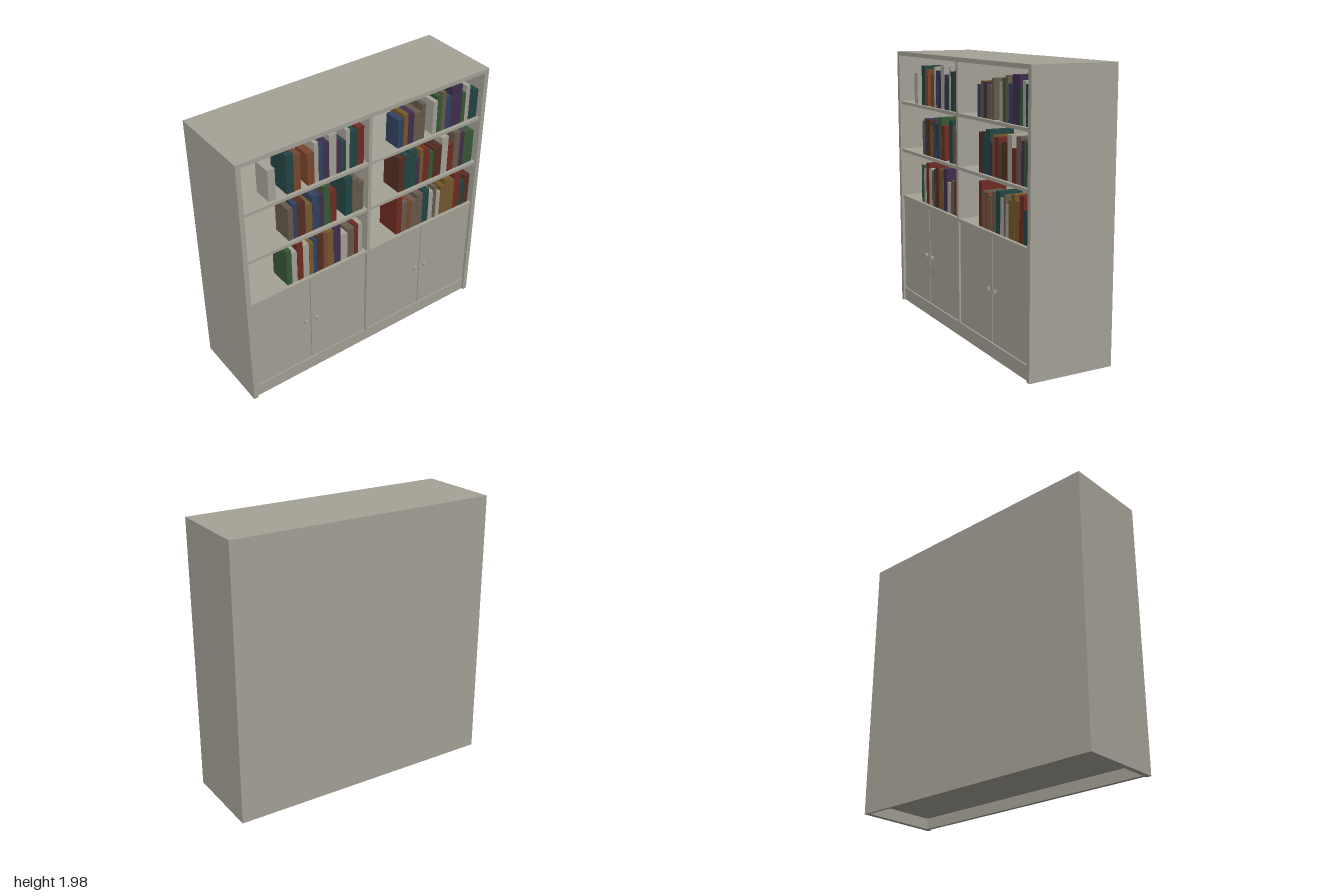
import * as THREE from 'three';

const COLORS = {
  body: 0xa5a196, red: 0x6f2c23, rust: 0x79472d, brown: 0x532e23, gold: 0x74582c,
  taupe: 0x675a4c, green: 0x385736, teal: 0x234543, blue: 0x334261, purple: 0x402f4c,
};

export function createModel() {
  const group = new THREE.Group();
  group.name = 'bookcase';
  const mats = {};
  for (const [name, hex] of Object.entries(COLORS)) {
    mats[name] = new THREE.MeshStandardMaterial({ color: hex });
    mats[name].name = name;
  }

  // box given by its limits on each axis
  function box(name, x0, x1, y0, y1, z0, z1, color = 'body', parent = group) {
    const mesh = new THREE.Mesh(new THREE.BoxGeometry(x1 - x0, y1 - y0, z1 - z0), mats[color]);
    mesh.position.set((x0 + x1) / 2, (y0 + y1) / 2, (z0 + z1) / 2);
    mesh.name = name;
    parent.add(mesh);
  }

  const H = 1.98, D = 0.312, W = 0.965, BACK = -0.292;

  // carcass
  box('topPanel', -W, W, 1.95, H, -D, D);
  box('backPanel', -W, W, 0, 1.95, -D, BACK);
  box('leftSide', W, 1, 0, H, -D, D);
  box('rightSide', -1, -W, 0, H, -D, D);
  box('divider', -0.013, 0.013, 0.1, 1.95, BACK, 0.302);
  box('bottomPanel', -W, W, 0.08, 0.1, BACK, 0.295);
  box('kickBoard', -W, W, 0, 0.1, 0.27, 0.297);

  // shelves in both bays
  const shelfTops = [0.862, 1.23, 1.6];
  for (const s of [-1, 1]) {
    for (const y of shelfTops) {
      const [a, b] = s < 0 ? [-W, -0.013] : [0.013, W];
      box('shelf', a, b, y - 0.022, y, BACK, 0.3);
    }
    // two doors with square knobs in each bay
    for (const [a, b, k] of [[0.02, 0.488, 0.445], [0.495, 0.962, 0.535]]) {
      box('door', Math.min(s * a, s * b), Math.max(s * a, s * b), 0.105, 0.836, 0.27, 0.292);
      box('knob', s * k - 0.01, s * k + 0.01, 0.463, 0.484, 0.292, 0.311);
    }
  }

  // a row of books: [width, height, colour] in hundredths; [width] alone is a gap
  function bookRow(x, y, books) {
    const row = new THREE.Group();
    row.name = 'bookRow';
    for (const [w, h, color] of books) {
      const width = w / 100, height = h / 100;
      if (color) box('book', x + 0.001, x + width - 0.001, y, y + height, 0.275 - height * 0.6, 0.275, color, row);
      x += width;
    }
    group.add(row);
  }

  bookRow(-0.767, shelfTops[2], [
    [5.6, 23, 'body'], [7.7], [5.7, 28.9, 'teal'], [5.1, 26.7, 'rust'], [5.1], [5.3, 23.5, 'rust'],
    [3.3, 29.4, 'body'], [3.8, 26.7, 'blue'], [4.3, 26.7, 'purple'], [5.8, 31, 'body'],
    [3.4, 24.6, 'purple'], [3.9, 22.5, 'teal'], [3, 29.9, 'body'], [5.9, 27.3, 'teal'], [5.5, 28.3, 'red'],
  ]);
  bookRow(0.249, shelfTops[2], [
    [4.8, 21.4, 'blue'], [3.7, 24, 'gold'], [4.9, 23.5, 'purple'], [6.4, 21.9, 'taupe'], [3.3, 26.7, 'taupe'],
    [6.9], [3.7, 25.1, 'body'], [4, 27.8, 'green'], [3.5, 29.4, 'taupe'], [4.9, 24.6, 'blue'],
    [4, 30.5, 'purple'], [5.4, 30.5, 'purple'], [3.6, 23, 'green'], [3.6, 27.8, 'body'],
    [2.7, 25.7, 'teal'], [5.2, 21.9, 'teal'],
  ]);
  bookRow(-0.634, shelfTops[1], [
    [4, 25.1, 'taupe'], [3.3, 27.3, 'blue'], [6, 26.7, 'brown'], [5.5, 21.9, 'gold'], [5.6, 26.7, 'blue'],
    [3.4, 25.1, 'purple'], [5.3, 30.5, 'green'], [4.9, 25.1, 'red'], [7.1], [5.8, 29.9, 'teal'],
    [5.3, 26.2, 'taupe'], [3.9, 22.5, 'taupe'],
  ]);
  bookRow(0.27, shelfTops[1], [
    [4.8, 27.3, 'brown'], [4.8, 27.8, 'teal'], [5.8, 29.9, 'teal'], [3.1, 21.9, 'purple'], [3, 27.3, 'gold'],
    [5.5, 26.2, 'red'], [3.8, 22.5, 'green'], [3.3, 24, 'brown'], [4.3, 24.6, 'brown'], [5.8, 29.9, 'body'],
    [5.4, 21.9, 'red'], [5.7, 29.9, 'taupe'], [3.7, 27.8, 'purple'], [5.3, 27.3, 'green'], [3.7, 25.7, 'green'],
  ]);
  bookRow(-0.66, shelfTops[0], [
    [4.1, 28.3, 'green'], [4.3, 25.7, 'body'], [4.8, 31, 'red'], [4.8, 27.3, 'body'], [3.7, 26.7, 'gold'],
    [2.8, 28.3, 'blue'], [5.2, 29.9, 'brown'], [3.2, 29.9, 'rust'], [5.3, 29.4, 'gold'], [5.8, 31, 'purple'],
    [5.7, 21.9, 'body'], [5.8, 24, 'taupe'], [3.3, 25.1, 'red'], [3.5, 25.1, 'body'],
  ]);
  bookRow(0.265, shelfTops[0], [
    [4.8, 31, 'red'], [4.8, 25.1, 'taupe'], [3.7, 24.6, 'rust'], [4.9, 23.5, 'taupe'], [5.8, 26.7, 'taupe'],
    [5.5, 28.3, 'teal'], [4.1, 24.6, 'body'], [3.1, 27.3, 'taupe'], [3.7, 21.4, 'body'], [3.8, 25.1, 'gold'],
    [4.2, 29.4, 'gold'], [5.4, 26.2, 'gold'], [5.8, 30.5, 'red'], [3.8, 21.9, 'teal'], [5.2, 25.1, 'brown'],
  ]);

  return group;
}
